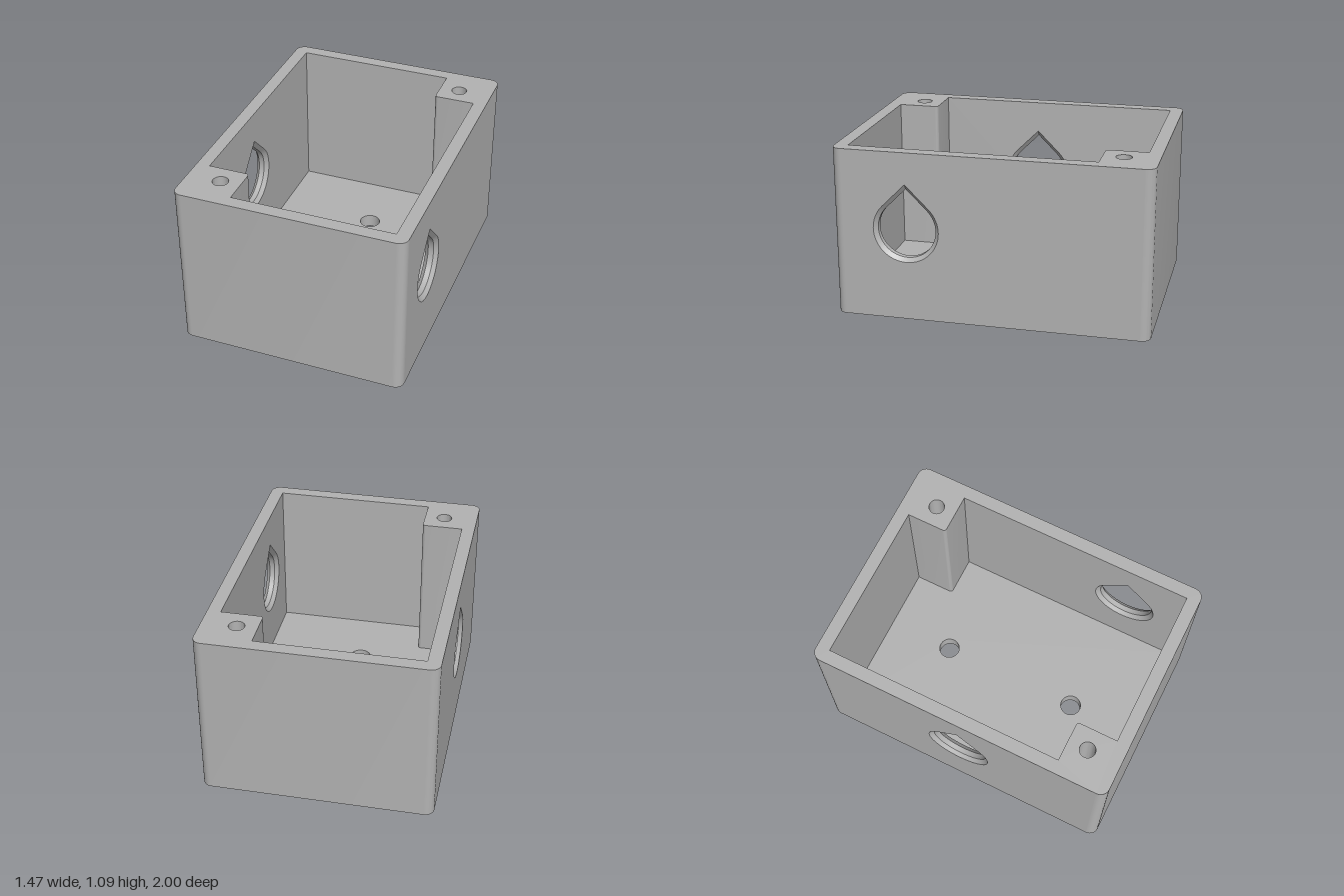
import * as THREE from 'three';
import { toCreasedNormals } from 'three/addons/utils/BufferGeometryUtils.js';

const X = 0.735, Z = 1, H = 1.09, R = 0.06;      // outer half sizes, height, corner radius
const IX = 0.65, IZ = 0.915, FLOOR = 0.09;       // cavity half sizes and floor level
const PX = 0.385, PZ = 0.65, PR = 0.02;          // inner corner of the screw posts
const SCREW = { x: 0.515, z: 0.78, r: 0.05, depth: 0.4 };
const DRAIN = { z: 0.47, r: 0.068 };
const DROP = { y: 0.59, r: 0.21, bevel: 0.025 };

// Points along an arc, as (x, z) or (u, v) pairs
function arc(cx, cy, r, from, to, n) {
  return Array.from({ length: n + 1 }, (_, i) => {
    const t = from + (to - from) * i / n;
    return new THREE.Vector2(cx + r * Math.cos(t), cy + r * Math.sin(t));
  });
}
const circle = (x, z, r) => arc(x, z, r, 0, Math.PI * 2, 40);
const turned = (pts) => pts.map((p) => new THREE.Vector2(-p.x, -p.y));

// Skin between successive rings of points
function loft(rings) {
  const pos = [];
  for (let k = 0; k + 1 < rings.length; k++) {
    const lo = rings[k], hi = rings[k + 1];
    for (let i = 0; i + 1 < lo.length; i++) {
      for (const p of [lo[i], lo[i + 1], hi[i + 1], lo[i], hi[i + 1], hi[i]]) pos.push(p.x, p.y, p.z);
    }
  }
  const geo = new THREE.BufferGeometry();
  geo.setAttribute('position', new THREE.Float32BufferAttribute(pos, 3));
  return toCreasedNormals(geo, 0.5);
}

// Upright surface following a plan path
const upright = (path, y0, y1) =>
  loft([y0, y1].map((y) => path.map((p) => new THREE.Vector3(p.x, y, p.y))));

// Level surface from a plan outline with holes
function level(outline, holes, y, down = false) {
  const flip = (pts) => pts.map((p) => new THREE.Vector2(p.x, -p.y));
  const shape = new THREE.Shape(flip(outline));
  shape.holes = holes.map((h) => new THREE.Path(flip(h)));
  return new THREE.ShapeGeometry(shape).rotateX(down ? Math.PI / 2 : -Math.PI / 2).translate(0, y, 0);
}

// Teardrop outline: round below, 45 degree peak above
function teardrop(r) {
  const pts = arc(0, 0, r, Math.PI * 0.75, Math.PI * 2.25, 48);
  pts.push(new THREE.Vector2(0, r * Math.SQRT2), pts[0].clone());
  return pts;
}

// Flat side panel at x between z0 and z1 with a teardrop opening at z
function sidePanel(x, z0, z1, y0, z, outward) {
  const s = outward ? -1 : 1;
  const shape = new THREE.Shape([[z0, y0], [z1, y0], [z1, H], [z0, H]]
    .map(([a, b]) => new THREE.Vector2(s * a, b)));
  shape.holes.push(new THREE.Path(teardrop(DROP.r)
    .map((p) => new THREE.Vector2(s * z + p.x, DROP.y + p.y))));
  return new THREE.ShapeGeometry(shape).rotateY(-s * Math.PI / 2).translate(x, 0, 0);
}

export function createModel() {
  const model = new THREE.Group();
  model.name = 'enclosure';
  const grey = new THREE.MeshStandardMaterial({ color: 0xb3b3b3 });
  grey.name = 'grey plastic';
  const add = (parent, name, geo) => {
    const mesh = new THREE.Mesh(geo, grey);
    mesh.name = name;
    parent.add(mesh);
  };

  // Plan paths for one half; the other half is the same turned by 180 degrees
  const outerEnd = [
    ...arc(-X + R, Z - R, R, Math.PI, Math.PI / 2, 10),
    ...arc(X - R, Z - R, R, Math.PI / 2, 0, 10),
  ];
  const innerEnd = [
    new THREE.Vector2(-IX, -IZ), new THREE.Vector2(PX, -IZ),
    ...arc(PX + PR, -PZ - PR, PR, Math.PI, Math.PI / 2, 6),
    new THREE.Vector2(IX, -PZ),
  ];
  const outline = [...outerEnd, ...turned(outerEnd)];
  const cavity = [...innerEnd, ...turned(innerEnd)];
  const drains = [1, -1].map((s) => circle(0, s * DRAIN.z, DRAIN.r));
  const screws = [1, -1].map((s) => circle(s * SCREW.x, -s * SCREW.z, SCREW.r));

  // Underside, floor, top rim
  add(model, 'underside', level(outline, drains, 0, true));
  add(model, 'floor', level(cavity, drains, FLOOR));
  add(model, 'topRim', level(outline, [cavity, ...screws], H));

  // Two halves, differing only in where the cable opening sits
  [['left', 0, 0.53], ['right', Math.PI, 0]].forEach(([side, angle, z], i) => {
    const half = new THREE.Group();
    half.name = side + 'Half';
    half.rotation.y = angle;
    model.add(half);

    add(half, 'outerEndWall', upright(outerEnd, 0, H));
    add(half, 'innerEndWallAndPost', upright(innerEnd, FLOOR, H));
    add(half, 'outerSideWall', sidePanel(X, -Z + R, Z - R, 0, z, true));
    add(half, 'innerSideWall', sidePanel(IX, -PZ, IZ, FLOOR, z, false));

    // Cable opening bevelled on both faces
    const b = DROP.bevel;
    const ring = (x, r) => teardrop(r).map((p) => new THREE.Vector3(x, DROP.y + p.y, z - p.x));
    add(half, 'cableOpening', loft([
      ring(X, DROP.r), ring(X - b, DROP.r - b), ring(IX + b, DROP.r - b), ring(IX, DROP.r),
    ]));

    // Blind screw hole in the post, and the mounting hole through the floor
    const hole = circle(SCREW.x, -SCREW.z, SCREW.r);
    add(half, 'screwHole', upright(hole, H - SCREW.depth, H));
    add(half, 'screwHoleEnd', level(hole, [], H - SCREW.depth));
    add(half, 'mountingHole', upright(circle(0, DRAIN.z, DRAIN.r), 0, FLOOR));
  });

  return model;
}
